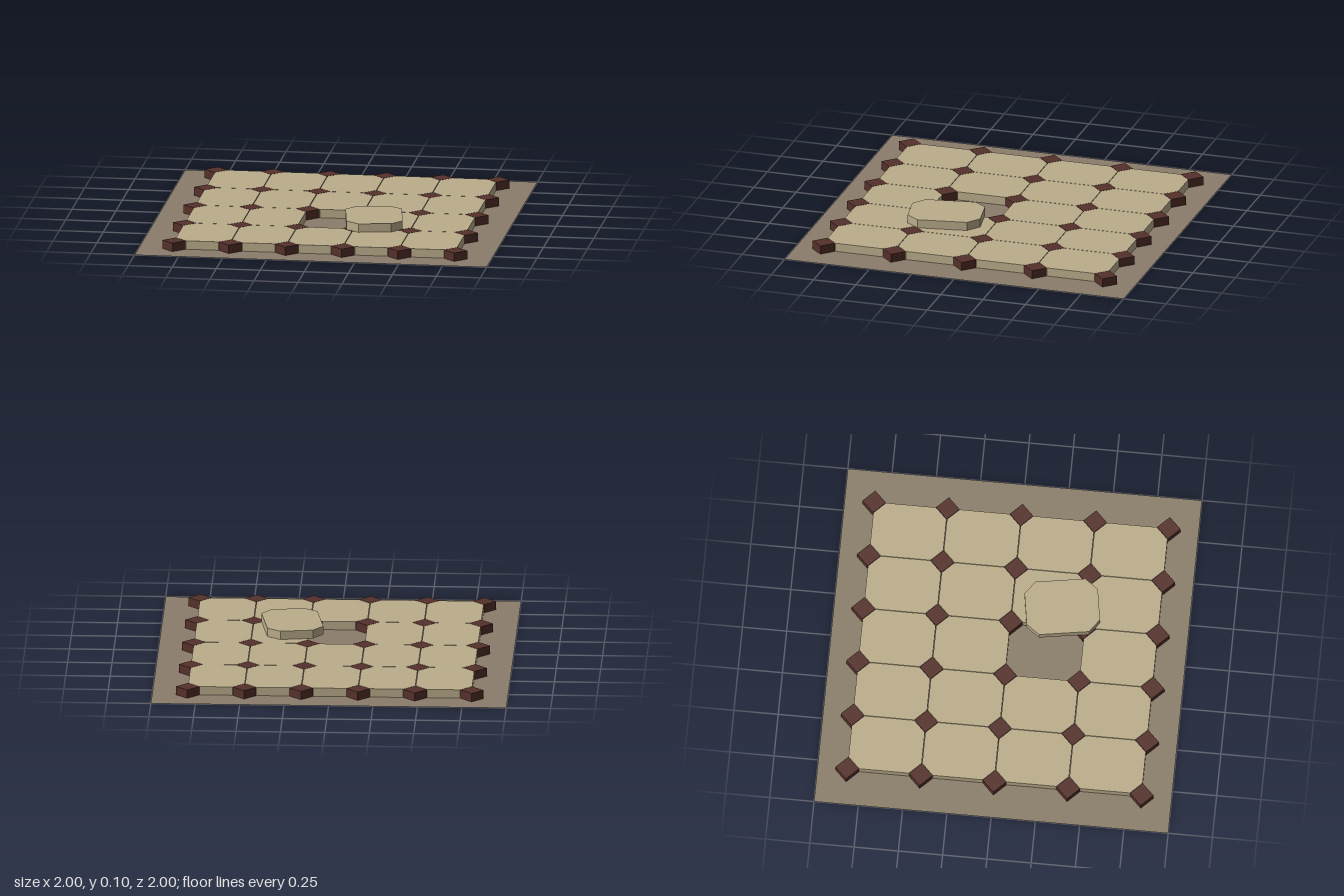
import * as THREE from 'three';

const COLS = 5, ROWS = 4;
const PITCH_X = 0.32, PITCH_Z = 0.416;
const HEIGHT = 0.05, CUT = 0.066, GAP = 0.003, LIFT = 0.001;

// Flat slab from an outline in x/z, standing on y = 0
function slab(points, height) {
  const shape = new THREE.Shape(points.map(([x, z]) => new THREE.Vector2(x, z)));
  const geometry = new THREE.ExtrudeGeometry(shape, { depth: height, bevelEnabled: false });
  return geometry.rotateX(-Math.PI / 2);
}

export function createModel() {
  const groundMat = new THREE.MeshStandardMaterial({ color: 0x8b7d6b, side: THREE.DoubleSide });
  groundMat.name = 'mortar';
  const tileMat = new THREE.MeshStandardMaterial({ color: 0xbcae8c });
  tileMat.name = 'sandstone';
  const studMat = new THREE.MeshStandardMaterial({ color: 0x55302a });
  studMat.name = 'darkRedStone';

  const model = new THREE.Group();
  model.name = 'tiledFloor';

  const add = (parent, name, geometry, material, x, y, z) => {
    const mesh = new THREE.Mesh(geometry, material);
    mesh.name = name;
    mesh.position.set(x, y, z);
    parent.add(mesh);
    return mesh;
  };

  // Thin ground sheet
  add(model, 'ground', new THREE.PlaneGeometry(2, 2).rotateX(-Math.PI / 2), groundMat, 0, 0, 0);

  // Octagonal tile: a rectangle with its corners cut off
  const w = (PITCH_X - GAP) / 2, d = (PITCH_Z - GAP) / 2;
  const tileGeo = slab([
    [w, -d + CUT], [w, d - CUT], [w - CUT, d], [-w + CUT, d],
    [-w, d - CUT], [-w, -d + CUT], [-w + CUT, -d], [w - CUT, -d],
  ], HEIGHT - LIFT);

  // Diamond stud filling the cut corners
  const studGeo = slab([[CUT, 0], [0, CUT], [-CUT, 0], [0, -CUT]], HEIGHT - LIFT);

  const tiles = new THREE.Group();
  tiles.name = 'tiles';
  const studs = new THREE.Group();
  studs.name = 'diamondStuds';
  model.add(tiles, studs);

  // Regular grid, with one tile missing
  for (let r = 0; r < ROWS; r++) {
    for (let c = 0; c < COLS; c++) {
      if (r === 2 && c === 2) continue;
      add(tiles, 'tile', tileGeo, tileMat,
        (c - (COLS - 1) / 2) * PITCH_X, LIFT, (r - (ROWS - 1) / 2) * PITCH_Z);
    }
  }
  for (let r = 0; r <= ROWS; r++) {
    for (let c = 0; c <= COLS; c++) {
      add(studs, 'diamondStud', studGeo, studMat,
        (c - COLS / 2) * PITCH_X, LIFT, (r - ROWS / 2) * PITCH_Z);
    }
  }

  // The loose tile, lying askew on its neighbours
  const loose = add(model, 'looseTile', tileGeo, tileMat, 0.257, HEIGHT + LIFT, 0.282);
  loose.rotation.y = 0.16;

  return model;
}
